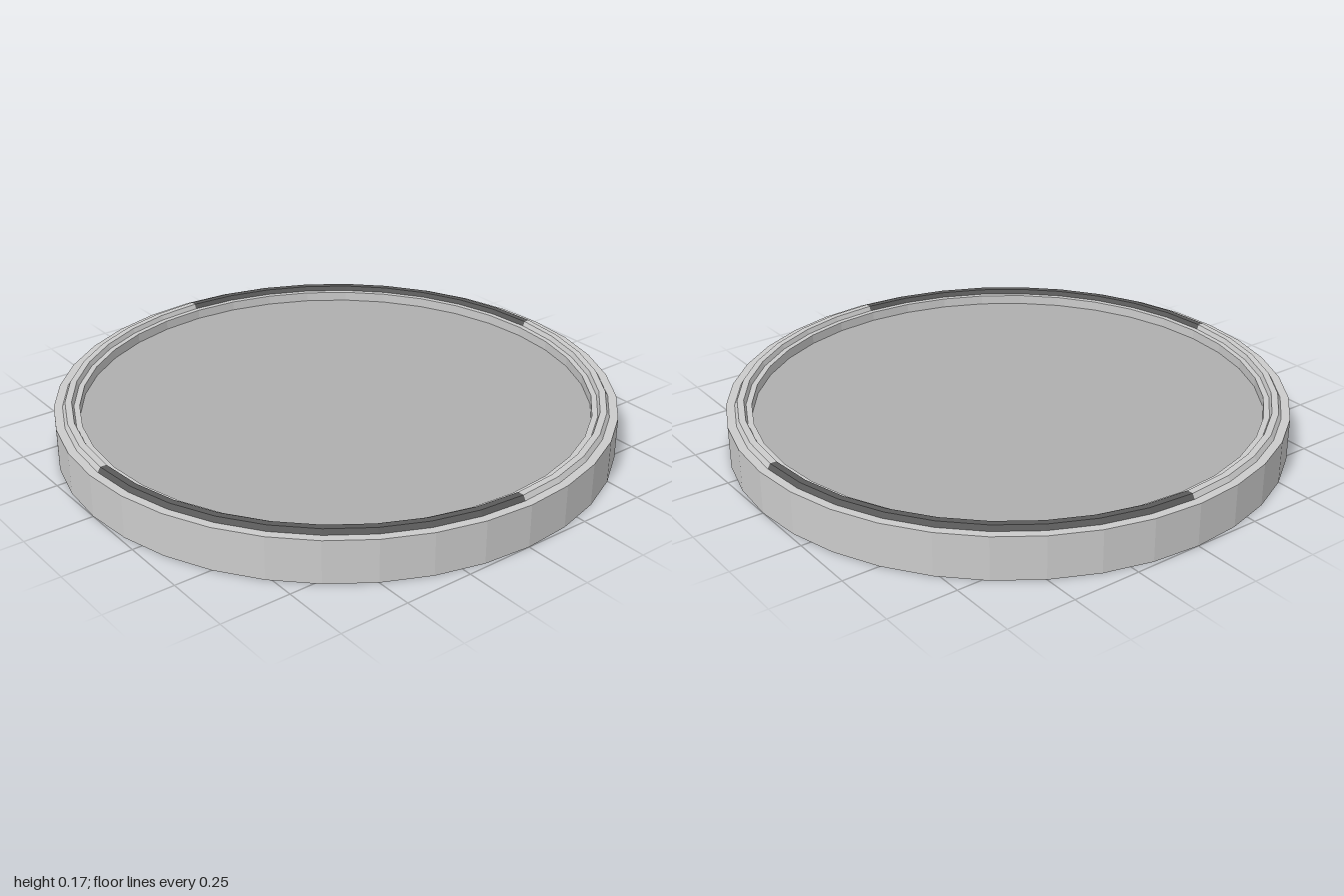
import * as THREE from 'three';

const SIDES = 36;
const FLOOR_Y = 0.12, RIM_Y = 0.155, TOP_Y = 0.172, INNER_R = 0.91;

const material = (color) => new THREE.MeshStandardMaterial({ color, flatShading: true });

function lathe(name, profile, mat, start = 0, sweep = Math.PI * 2) {
  const points = profile.map(([r, y]) => new THREE.Vector2(r, y));
  const segments = Math.round(SIDES * sweep / (Math.PI * 2));
  const mesh = new THREE.Mesh(new THREE.LatheGeometry(points, segments, start, sweep), mat);
  mesh.name = name;
  return mesh;
}

export function createModel() {
  const group = new THREE.Group();
  group.name = 'roundTray';
  const grey = material(0xcccccc);
  const dark = material(0x5a5a5a);

  // Body: underside, outer wall, flat rim and inner wall
  group.add(lathe('body', [[0, 0], [1, 0], [1, RIM_Y], [INNER_R, RIM_Y], [INNER_R, FLOOR_Y]], grey));

  // Recessed floor panel
  const floor = new THREE.Mesh(new THREE.CircleGeometry(INNER_R, SIDES), material(0xafafaf));
  floor.name = 'floorPanel';
  floor.rotation.x = -Math.PI / 2;
  floor.position.y = FLOOR_Y;
  group.add(floor);

  // Raised ring on the rim, in quarters of alternating colour
  const ridge = [[0.97, RIM_Y], [0.96, TOP_Y], [0.937, TOP_Y], [0.93, RIM_Y]];
  for (let i = 0; i < 4; i++) {
    const quarter = Math.PI / 2;
    group.add(lathe(`ringQuarter${i + 1}`, ridge, i % 2 ? dark : grey, i * quarter, quarter));
  }
  return group;
}
